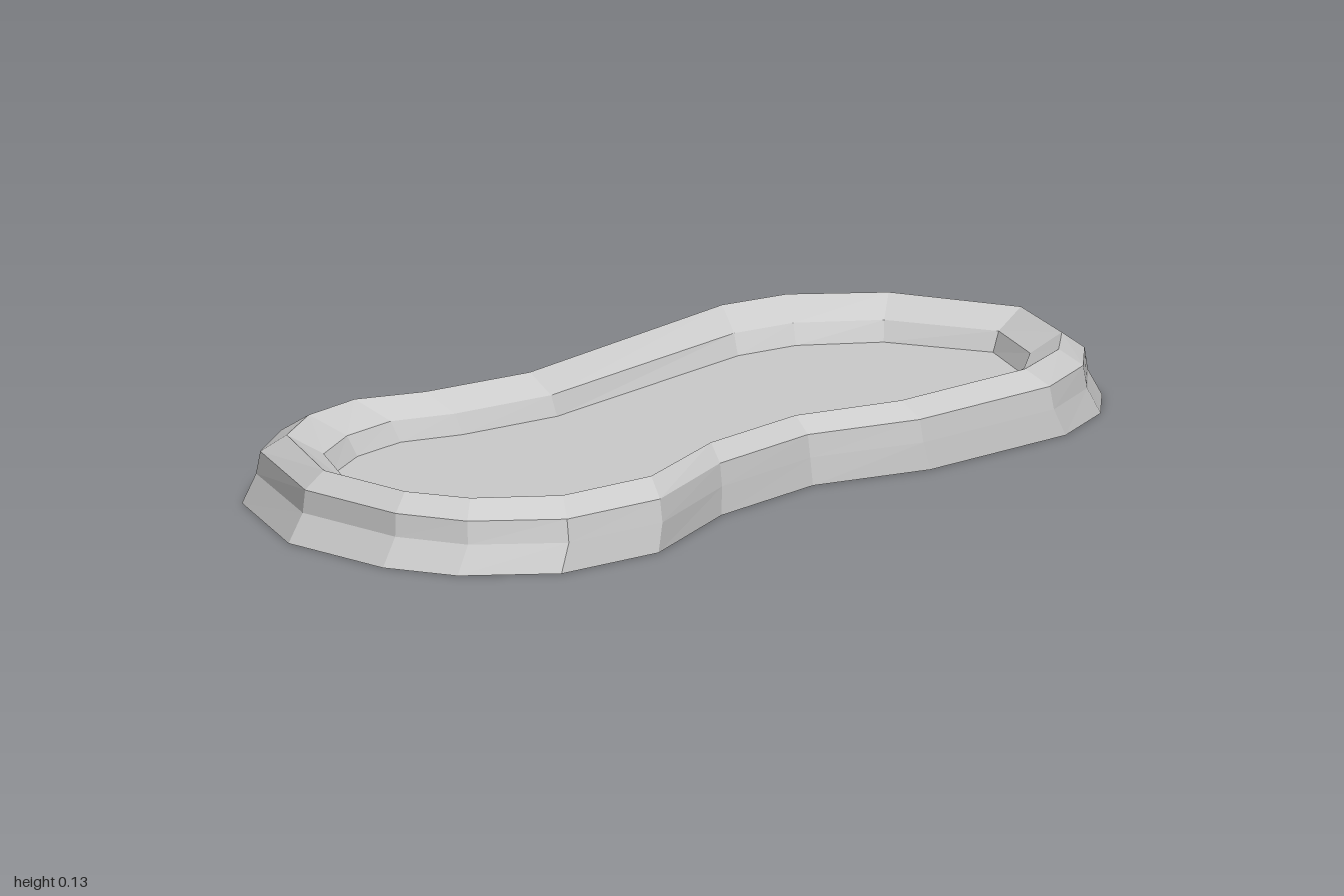
import * as THREE from 'three';

// Base outline (x, z), clockwise seen from above
const OUTLINE = [
  [-1, -0.08], [-0.85, -0.36], [-0.7, -0.45], [-0.54, -0.475], [-0.39, -0.41],
  [-0.12, -0.365], [0.56, -0.48], [0.72, -0.445], [0.885, -0.295], [1, 0.005],
  [0.913, 0.23], [0.81, 0.33], [0.645, 0.4], [0.275, 0.4], [0.03, 0.325],
  [-0.255, 0.36], [-0.54, 0.475], [-0.785, 0.455], [-0.94, 0.325], [-1, 0.18],
];

// Rim section from outer foot to floor: x scale, z scale, height
const SECTION = [
  [1, 1, 0],
  [0.963, 0.98, 0.055],
  [0.958, 0.96, 0.1],
  [0.915, 0.86, 0.133],
  [0.855, 0.72, 0.095],
  [0.84, 0.68, 0.055],
];

const material = new THREE.MeshStandardMaterial({
  color: 0xcccccc, flatShading: true, side: THREE.DoubleSide,
});

// Skin between consecutive scaled copies of the outline
function loft(section) {
  const n = OUTLINE.length;
  const positions = [];
  const index = [];
  section.forEach(([sx, sz, y], r) => {
    OUTLINE.forEach(([x, z], i) => {
      positions.push(x * sx, y, z * sz);
      if (r === section.length - 1) return;
      const a = r * n + i;
      const b = r * n + (i + 1) % n;
      index.push(a, a + n, b, b, a + n, b + n);
    });
  });
  const geometry = new THREE.BufferGeometry();
  geometry.setAttribute('position', new THREE.Float32BufferAttribute(positions, 3));
  geometry.setIndex(index);
  const flat = geometry.toNonIndexed();
  flat.computeVertexNormals();
  return flat;
}

export function createModel() {
  const group = new THREE.Group();
  group.name = 'shallowBasin';

  // Raised border, open underneath
  const rim = new THREE.Mesh(loft(SECTION), material);
  rim.name = 'rim';
  group.add(rim);

  // Flat sheet filling the border
  const [sx, sz, y] = SECTION[SECTION.length - 1];
  const shape = new THREE.Shape(OUTLINE.map(([x, z]) => new THREE.Vector2(x * sx, -z * sz)));
  const floor = new THREE.Mesh(new THREE.ShapeGeometry(shape).rotateX(-Math.PI / 2), material);
  floor.position.y = y;
  floor.name = 'floor';
  group.add(floor);

  return group;
}
